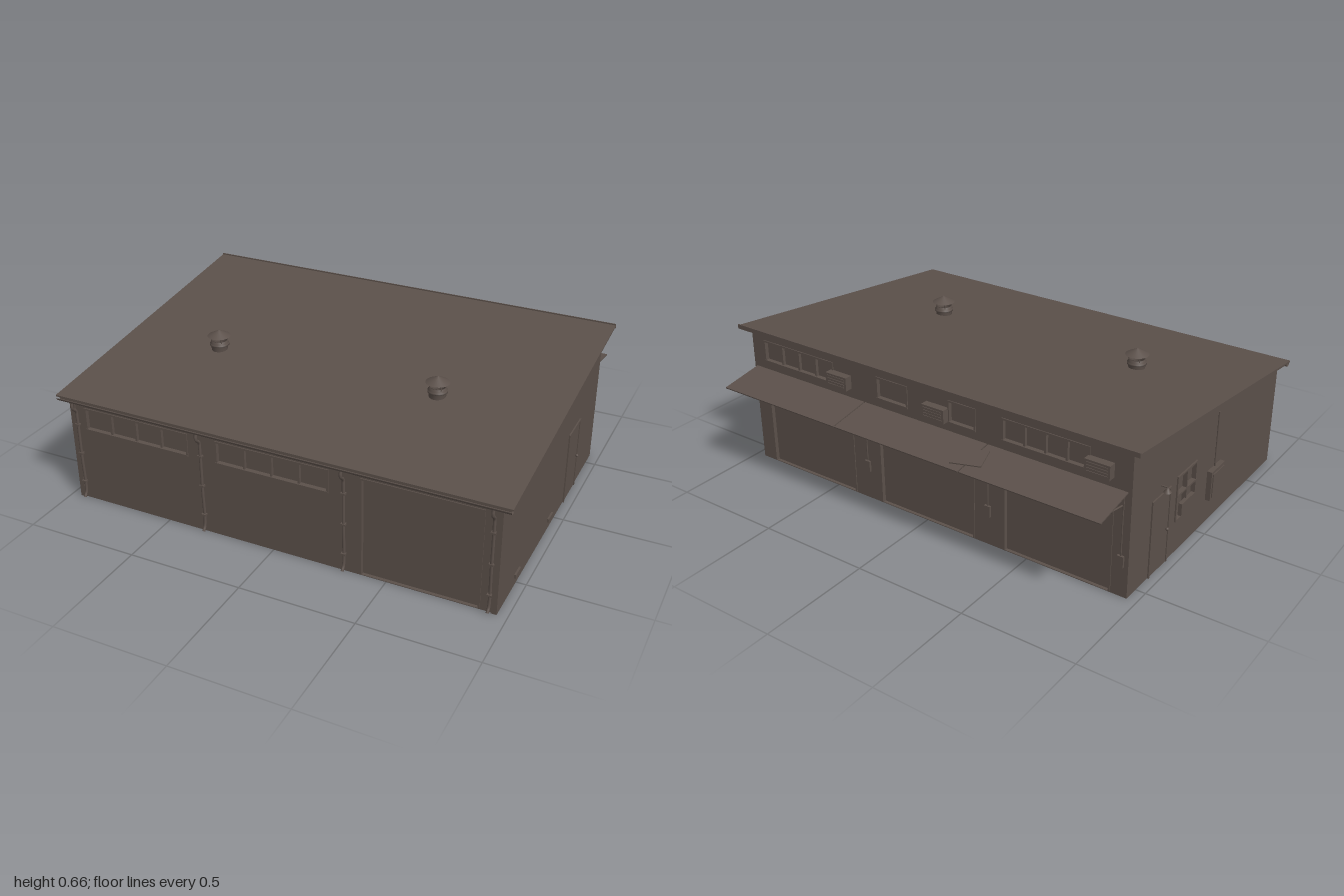
import * as THREE from 'three';

const paint = new THREE.MeshStandardMaterial({ color: 0x5b504a, side: THREE.DoubleSide });
paint.name = 'dark brown';

const T = 0.02; // wall thickness
const XW = 0.957, ZF = 0.72, ZB = -0.57; // outer wall faces
const roofY = z => 0.5 + (0.755 - z) * 0.114; // top of roof slope
const SLOPE = Math.atan(0.114);

export function createModel() {
  const root = new THREE.Group();
  root.name = 'garageBuilding';

  const add = (name, geo, parent = root) => {
    const m = new THREE.Mesh(geo, paint);
    m.name = name;
    parent.add(m);
    return m;
  };
  // box from its minimum and maximum along each axis
  const box = (name, x0, x1, y0, y1, z0, z1, parent) =>
    add(name, new THREE.BoxGeometry(x1 - x0, y1 - y0, z1 - z0)
      .translate((x0 + x1) / 2, (y0 + y1) / 2, (z0 + z1) / 2), parent);
  // round bar between two points
  const bar = (name, a, b, r, parent) => {
    const p = new THREE.Vector3(...a), q = new THREE.Vector3(...b);
    const m = add(name, new THREE.CylinderGeometry(r, r, p.distanceTo(q), 8), parent);
    m.position.copy(p).add(q).multiplyScalar(0.5);
    m.quaternion.setFromUnitVectors(new THREE.Vector3(0, 1, 0), q.sub(p).normalize());
    return m;
  };
  // upright plate with rectangular openings [u0, u1, v0, v1]
  const wallGeo = (outline, openings) => {
    const s = new THREE.Shape(outline.map(p => new THREE.Vector2(...p)));
    for (const [a, b, c, d] of openings) {
      s.holes.push(new THREE.Path([[a, c], [a, d], [b, d], [b, c]].map(p => new THREE.Vector2(...p))));
    }
    return new THREE.ExtrudeGeometry(s, { depth: T, bevelEnabled: false });
  };
  // thin raised frame on a front or back wall
  const frame = (name, [a, b, c, d], z, sill = true) => {
    const g = new THREE.Group(), w = 0.008;
    g.name = name;
    root.add(g);
    box('frameSide', a - w, a, c, d + w, z - 0.004, z + 0.004, g);
    box('frameSide', b, b + w, c, d + w, z - 0.004, z + 0.004, g);
    box('frameTop', a, b, d, d + w, z - 0.004, z + 0.004, g);
    if (sill) box('frameSill', a - w, b + w, c - w, c, z - 0.006, z + 0.006, g);
    return g;
  };
  // panes with mullions filling an opening
  const strip = (name, [a, b, c, d], z, dir, n) => {
    const g = frame(name, [a, b, c, d], z);
    box('panes', a, b, c, d, z - dir * 0.016 - 0.002, z - dir * 0.016 + 0.002, g);
    for (let i = 1; i < n; i++) {
      const x = a + (b - a) * i / n;
      box('mullion', x - 0.004, x + 0.004, c, d, z - dir * 0.008 - 0.008, z - dir * 0.008 + 0.008, g);
    }
  };

  // front wall: two window strips and one vehicle door
  const frontWins = [[-0.88, -0.39, 0.35, 0.44], [-0.245, 0.245, 0.35, 0.44]];
  const frontDoor = [0.395, 0.88, 0.003, 0.44];
  const topF = roofY(ZF) - 0.018, topB = roofY(ZB) - 0.018;
  const rect = h => [[-XW, 0], [XW, 0], [XW, h], [-XW, h]];
  add('frontWall', wallGeo(rect(topF), [...frontWins, frontDoor]).translate(0, 0, ZF - T));
  frontWins.forEach(w => strip('frontWindow', w, ZF, 1, 4));
  frame('frontDoorFrame', frontDoor, ZF, false);
  box('frontDoorPanel', 0.395, 0.88, 0, 0.44, ZF - 0.02, ZF - 0.014);

  // back wall: three vehicle doors below high windows
  const backDoors = [-0.637, 0, 0.637].map(x => [x - 0.24, x + 0.24, 0.003, 0.43]);
  const backWins = [[0.49, 0.88, 4], [0.09, 0.24, 1], [-0.25, -0.13, 1], [-0.77, -0.39, 4]];
  const winRect = ([a, b]) => [a, b, 0.507, 0.592];
  add('backWall', wallGeo(rect(topB), [...backDoors, ...backWins.map(winRect)]).translate(0, 0, ZB));
  backWins.forEach(w => strip('backWindow', winRect(w), ZB, -1, w[2]));
  for (const d of backDoors) {
    frame('backDoorFrame', d, ZB, false);
    box('backDoorPanel', d[0], d[1], 0, d[3], ZB + 0.014, ZB + 0.02);
  }
  for (const x of [0.44, -0.07, -0.825]) { // window coolers
    box('coolerUnit', x - 0.055, x + 0.055, 0.505, 0.565, ZB - 0.034, ZB);
    for (let i = 0; i < 4; i++) {
      const y = 0.515 + i * 0.012;
      box('coolerSlat', x - 0.045, x + 0.045, y, y + 0.005, ZB - 0.037, ZB - 0.034);
    }
  }
  for (const x of [0.315, -0.315, -0.925]) {
    box('controlBox', x - 0.014, x + 0.014, 0.135, 0.185, ZB - 0.01, ZB);
    bar('controlConduit', [x, 0.185, ZB - 0.003], [x, 0.4, ZB - 0.003], 0.003);
  }

  // side walls with sloped tops
  const side = [[ZB, 0], [ZF, 0], [ZF, topF], [ZB, topB]];
  const sideWin = [-0.20, -0.05, 0.16, 0.35];
  const sideGeo = (holes, x) => wallGeo(side, holes).rotateY(-Math.PI / 2).translate(x, 0, 0);
  add('leftWall', sideGeo([], XW));
  add('rightWall', sideGeo([sideWin], -XW + T));

  // personnel doors on both sides
  const sideDoor = (s, z0, z1, h, knobZ) => {
    const g = new THREE.Group();
    g.name = 'sideDoor';
    root.add(g);
    const X = d => [Math.min(s * XW, s * (XW + d)), Math.max(s * XW, s * (XW + d))];
    box('doorPanel', ...X(0.002), 0, h, z0, z1, g);
    box('doorJamb', ...X(0.006), 0, h, z0, z0 + 0.008, g);
    box('doorJamb', ...X(0.006), 0, h, z1 - 0.008, z1, g);
    box('doorHead', ...X(0.006), h - 0.008, h, z0, z1, g);
    add('doorKnob', new THREE.SphereGeometry(0.007, 12, 8), g).position.set(s * (XW + 0.008), 0.16, knobZ);
  };
  sideDoor(1, -0.295, -0.13, 0.333, -0.275);
  sideDoor(-1, -0.41, -0.26, 0.345, -0.28);
  for (const z of [0.5, 0.075]) box('wallVent', XW, XW + 0.008, 0.038, 0.055, z - 0.03, z + 0.03);

  // right wall window, meter cabinet and door lamp
  const [wa, wb, wc, wd] = sideWin;
  box('sidePane', -XW + 0.013, -XW + 0.017, wc, wd, wa, wb);
  for (const z of [wa - 0.004, (wa + wb) / 2, wb + 0.004]) {
    box('sideWindowUpright', -XW - 0.006, -XW + 0.013, wc, wd, z - 0.004, z + 0.004);
  }
  for (const y of [wc - 0.004, 0.27, wd + 0.004]) {
    box('sideWindowRail', -XW - 0.007, -XW + 0.013, y - 0.004, y + 0.004, wa - 0.008, wb + 0.008);
  }
  box('sideWindowCooler', -XW - 0.016, -XW, 0.17, 0.225, -0.18, -0.07);
  box('meterCabinet', -XW - 0.022, -XW, 0.115, 0.25, 0.07, 0.19);
  box('meterCabinetDoor', -XW - 0.026, -XW - 0.022, 0.128, 0.237, 0.08, 0.18);
  bar('meterConduit', [-XW - 0.005, 0.25, 0.13], [-XW - 0.005, 0.5, 0.13], 0.004);
  bar('lampArm', [-XW, 0.385, -0.34], [-XW - 0.025, 0.385, -0.34], 0.003);
  add('lampShade', new THREE.ConeGeometry(0.016, 0.022, 16)).position.set(-XW - 0.027, 0.375, -0.34);

  // roof slab with a thin covering sheet
  const roofLayer = (name, x, z0, z1, top, bottom) => {
    const s = new THREE.Shape([[z0, top], [z1, top], [z1, bottom], [z0, bottom]]
      .map(([z, o]) => new THREE.Vector2(z, roofY(z) + o)));
    add(name, new THREE.ExtrudeGeometry(s, { depth: 2 * x, bevelEnabled: false })
      .rotateY(-Math.PI / 2).translate(x, 0, 0));
  };
  roofLayer('roofSheet', 1, -0.605, 0.755, 0, -0.007);
  roofLayer('roofDeck', 0.99, -0.597, 0.745, -0.007, -0.02);
  box('roofRearTrim', -1, 1, 0.64, 0.66, -0.608, -0.603);

  // roof ventilators
  for (const x of [-0.545, 0.48]) {
    const g = new THREE.Group();
    g.name = 'roofVentilator';
    g.position.set(x, 0.55, 0.185);
    root.add(g);
    const profile = [[0.036, 0], [0.036, 0.032], [0.042, 0.034], [0.042, 0.042], [0.036, 0.044], [0.036, 0.056], [0.03, 0.056], [0.03, 0.03]];
    add('ventPipe', new THREE.LatheGeometry(profile.map(p => new THREE.Vector2(...p)), 24), g);
    add('ventCap', new THREE.ConeGeometry(0.051, 0.028, 24), g).position.y = 0.09;
    for (let i = 0; i < 4; i++) {
      const a = Math.PI / 4 + i * Math.PI / 2, c = Math.cos(a) * 0.034, s = Math.sin(a) * 0.034;
      bar('ventLeg', [c, 0.05, s], [c, 0.08, s], 0.003, g);
    }
  }

  // gutter, downpipes and their clamps
  const gutter = add('gutter', new THREE.CylinderGeometry(0.014, 0.014, 1.99, 12, 1, true, -Math.PI / 2, Math.PI));
  gutter.geometry.rotateZ(Math.PI / 2).rotateX(Math.PI / 2);
  gutter.geometry.computeBoundingBox();
  const gb = gutter.geometry.boundingBox;
  gutter.position.set(0, 0.488 - gb.max.y, 0.745 - (gb.max.z + gb.min.z) / 2);
  for (const x of [-0.925, -0.32, 0.32, 0.925]) {
    const path = [[0.478, 0.75], [0.452, 0.752], [0.428, 0.729], [0.4, 0.727], [0.2, 0.727], [0.03, 0.727], [0.008, 0.74]];
    const curve = new THREE.CatmullRomCurve3(path.map(([y, z]) => new THREE.Vector3(x, y, z)), false, 'centripetal');
    add('downpipe', new THREE.TubeGeometry(curve, 40, 0.0065, 10));
    for (const y of [0.08, 0.22, 0.36]) box('pipeClamp', x - 0.01, x + 0.01, y, y + 0.008, 0.718, 0.736);
  }
  for (const s of [-1, 1]) {
    box('cornerPost', s * 0.945 - 0.012, s * 0.945 + 0.012, 0, 0.475, ZF, ZF + 0.006);
  }

  // awnings over the rear doors, on bracket frames
  const awnY = z => 0.462 - (-0.57 - z) * 0.165;
  for (const x of [-0.63, 0, 0.63]) {
    const g = new THREE.Group();
    g.name = 'awning';
    root.add(g);
    const sheet = add('awningSheet', new THREE.BoxGeometry(0.624, 0.005, 0.196), g);
    sheet.position.set(x, awnY(-0.668), -0.668);
    sheet.rotation.x = -Math.atan(0.165);
    for (const dx of [-0.29, 0.29]) {
      bar('awningArm', [x + dx, awnY(ZB) - 0.007, ZB], [x + dx, awnY(-0.74) - 0.007, -0.74], 0.004, g);
      bar('awningStrut', [x + dx, 0.4, ZB], [x + dx, awnY(-0.73) - 0.006, -0.73], 0.004, g);
      box('awningPlate', x + dx - 0.008, x + dx + 0.008, 0.385, 0.46, ZB - 0.005, ZB, g);
    }
    for (const z of [-0.6, -0.73]) {
      bar('awningPurlin', [x - 0.305, awnY(z) - 0.006, z], [x + 0.305, awnY(z) - 0.006, z], 0.004, g);
    }
  }
  const patch = new THREE.Group();
  patch.name = 'awningPatch';
  patch.position.set(-0.305, awnY(-0.675) + 0.006, -0.675);
  patch.rotation.x = -Math.atan(0.165);
  root.add(patch);
  add('patchSheet', new THREE.BoxGeometry(0.13, 0.005, 0.1), patch).rotation.y = 0.27;

  return root;
}
